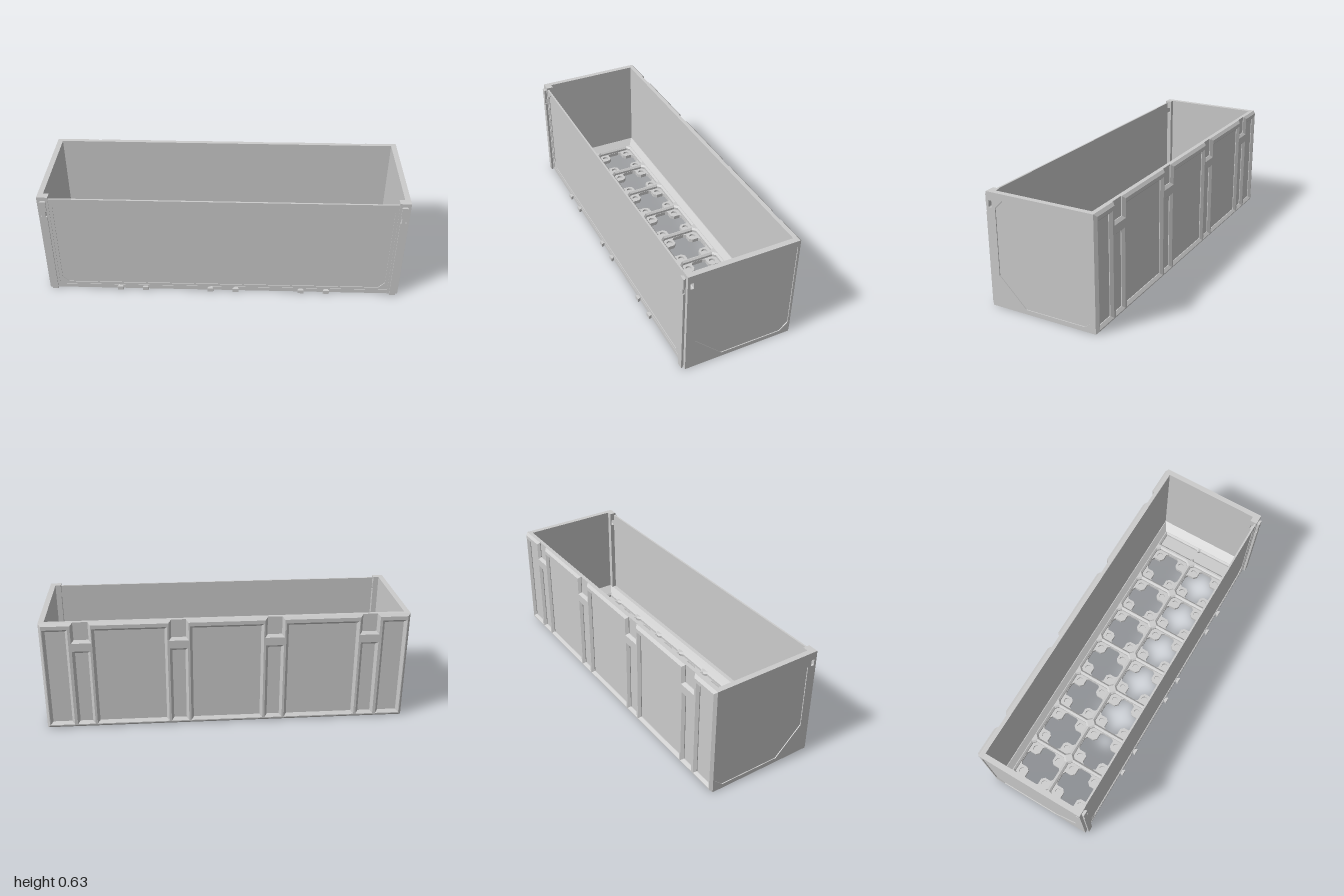
import * as THREE from 'three';

const H = 0.627;

export function createModel() {
  const root = new THREE.Group();
  const mat = new THREE.MeshStandardMaterial({ color: 0xcccccc, flatShading: true });
  const matOpen = new THREE.MeshStandardMaterial({ color: 0xcccccc, flatShading: true, side: THREE.DoubleSide });

  const add = (name, geo, x = 0, y = 0, z = 0, m = mat) => {
    const mesh = new THREE.Mesh(geo, m);
    mesh.name = name;
    mesh.position.set(x, y, z);
    root.add(mesh);
    return mesh;
  };
  const poly = (pts) => pts.map(([x, y]) => new THREE.Vector2(x, y));
  const rect = (x0, x1, y0, y1) => poly([[x0, y0], [x1, y0], [x1, y1], [x0, y1]]);
  const plate = (outline, holes, depth, bevel = 0) => {
    const shape = new THREE.Shape(outline);
    shape.holes = holes.map((h) => new THREE.Path(h));
    return new THREE.ExtrudeGeometry(shape, {
      depth, curveSegments: 8, bevelEnabled: bevel > 0, bevelSegments: 1,
      bevelSize: bevel, bevelThickness: bevel, bevelOffset: -bevel,
    });
  };
  // rectangle with cut corners
  const cutRect = (x0, x1, y0, y1, c) => poly([
    [x0 + c, y0], [x1 - c, y0], [x1, y0 + c], [x1, y1 - c],
    [x1 - c, y1], [x0 + c, y1], [x0, y1 - c], [x0, y0 + c],
  ]);
  const flat = (geo) => geo.rotateX(-Math.PI / 2);

  // Floor: 7 x 2 cells with cross-shaped openings and magnet recesses
  const pitch = 0.248;
  const centres = [];
  for (let i = 0; i < 7; i++) {
    for (const s of [-1, 1]) centres.push([-0.806 + i * pitch, s * pitch / 2]);
  }
  const quarter = [[0.11, 0.03], [0.1, 0.045], [0.062, 0.045], [0.045, 0.062], [0.045, 0.1], [0.03, 0.11]];
  const cross = ([cx, cy]) => {
    const pts = [];
    for (let q = 0; q < 4; q++) {
      const a = q * Math.PI / 2, c = Math.cos(a), s = Math.sin(a);
      for (const [x, y] of quarter) pts.push([cx + x * c - y * s, cy + x * s + y * c]);
    }
    return poly(pts);
  };
  const circle = (x, y, r) => new THREE.Path().absarc(x, y, r, 0, Math.PI * 2).getPoints(8).slice(0, -1);
  const crosses = centres.map(cross);
  const magnets = centres.flatMap(([x, y]) => [[1, 1], [-1, 1], [-1, -1], [1, -1]]
    .map(([sx, sy]) => circle(x + sx * 0.077, y + sy * 0.077, 0.018)));
  add('floorBase', flat(plate(rect(-0.995, 0.995, -0.305, 0.302), crosses, 0.01)));
  add('floorPads', flat(plate(rect(-0.995, 0.995, -0.305, 0.302), [...crosses, ...magnets], 0.012)), 0, 0.01);

  // Cell ridges with sloped edges, plus the spare bay at one end
  const cells = centres.map(([x, y]) => cutRect(x - 0.112, x + 0.112, y - 0.112, y + 0.112, 0.018));
  const bay = poly([[0.825, -0.235], [0.908, -0.235], [0.908, -0.012], [0.895, 0], [0.908, 0.012],
    [0.908, 0.235], [0.825, 0.235], [0.825, 0.012], [0.838, 0], [0.825, -0.012]]);
  add('cellRidges', flat(plate(rect(-0.978, 0.978, -0.3, 0.3), [...cells, bay], 0.016, 0.01)), 0, 0.02);

  // Sloped border from the ridges up to the walls
  const rings = [[-0.93, 0.92, -0.25, 0.243, 0.046], [-0.97, 0.97, -0.28, 0.27, 0.076], [-0.975, 0.975, -0.295, 0.297, 0.076]];
  const pos = [], idx = [];
  for (const [x0, x1, z0, z1, y] of rings) pos.push(x0, y, z0, x1, y, z0, x1, y, z1, x0, y, z1);
  for (let r = 0; r < rings.length - 1; r++) {
    for (let k = 0; k < 4; k++) {
      const a = r * 4 + k, b = r * 4 + (k + 1) % 4;
      idx.push(a, b, b + 4, a, b + 4, a + 4);
    }
  }
  const border = new THREE.BufferGeometry();
  border.setAttribute('position', new THREE.Float32BufferAttribute(pos, 3));
  border.setIndex(idx);
  border.computeVertexNormals();
  add('floorBorder', border, 0, 0, 0, matOpen);

  // Back wall: thin sheet plus an outer layer with bevelled pockets and top notches
  const b = 0.014;
  const pocket = (x0, x1, y1) => rect(x0 + b, x1 - b, 0.02 + b, y1 - b);
  const pockets = [pocket(-0.2, 0.2, 0.592)];
  for (const s of [-1, 1]) {
    const span = (p, q, y) => pocket(Math.min(s * p, s * q), Math.max(s * p, s * q), y);
    pockets.push(span(0.322, 0.722, 0.592), span(0.848, 0.982, 0.592), span(0.734, 0.832, 0.465), span(0.212, 0.31, 0.465));
  }
  const outline = [[-1, 0], [1, 0], [1, H]];
  for (const c of [0.78, 0.26, -0.26, -0.78]) {
    outline.push([c + 0.04, H], [c + 0.04, 0.525], [c - 0.04, 0.525], [c - 0.04, H]);
  }
  outline.push([-1, H]);
  add('backSheet', new THREE.BoxGeometry(1.99, H, 0.02), 0, H / 2, -0.294);
  add('backPockets', plate(poly(outline), pockets, 0.004, b), 0, 0, -0.308);

  // Side walls with a shallow panel and a latch window
  const panel = poly([[0.255, 0.545], [0.21, 0.59], [-0.298, 0.59], [-0.298, 0.07],
    [-0.25, 0.025], [0.1, 0.025], [0.255, 0.18]]);
  const latchWindow = cutRect(0.275, 0.293, 0.545, 0.582, 0.003);
  const sideWall = rect(-0.308, 0.307, 0, H);
  for (const s of [1, -1]) {
    const side = (name, out, holes, outer, thick) =>
      add(name, plate(out, holes, thick).rotateY(-Math.PI / 2), s > 0 ? outer : thick - outer);
    side('sideFrame', sideWall, [panel, latchWindow], 1, 0.005);
    side('sideWall', sideWall, [latchWindow], 0.995, 0.025);
    side('cornerPost', rect(0.268, 0.307, 0, H), [latchWindow], 0.97, 0.03);
  }

  // Front panel with a shallow inset
  const front = rect(-0.955, 0.955, 0.02, 0.615);
  add('frontPanel', plate(front, [], 0.006), 0, 0, 0.294);
  add('frontFrame', plate(front, [cutRect(-0.922, 0.922, 0.04, 0.602, 0.035)], 0.004), 0, 0, 0.3);
  add('frontSill', new THREE.BoxGeometry(1.9, 0.025, 0.012), 0, 0.0125, 0.3);

  // Dovetail connectors: full rails at the corners, short clips along the bottom
  const dovetail = (name, x, y0, y1, w = 0.017) => add(name, flat(plate(
    poly([[x - 0.012, -0.3], [x - 0.012, -0.31], [x - w, -0.315], [x - w, -0.322],
      [x + w, -0.322], [x + w, -0.315], [x + 0.012, -0.31], [x + 0.012, -0.3]]), [], y1 - y0)), 0, y0);
  for (const s of [-1, 1]) {
    dovetail('cornerRail', s * 0.968, 0, 0.512);
    dovetail('railNeck', s * 0.968, 0.512, 0.543, 0.01);
    dovetail('cornerRail', s * 0.968, 0.543, 0.606);
    for (const x of [0.073, 0.445, 0.59]) dovetail('bottomClip', s * x, 0, 0.022);
  }
  return root;
}
